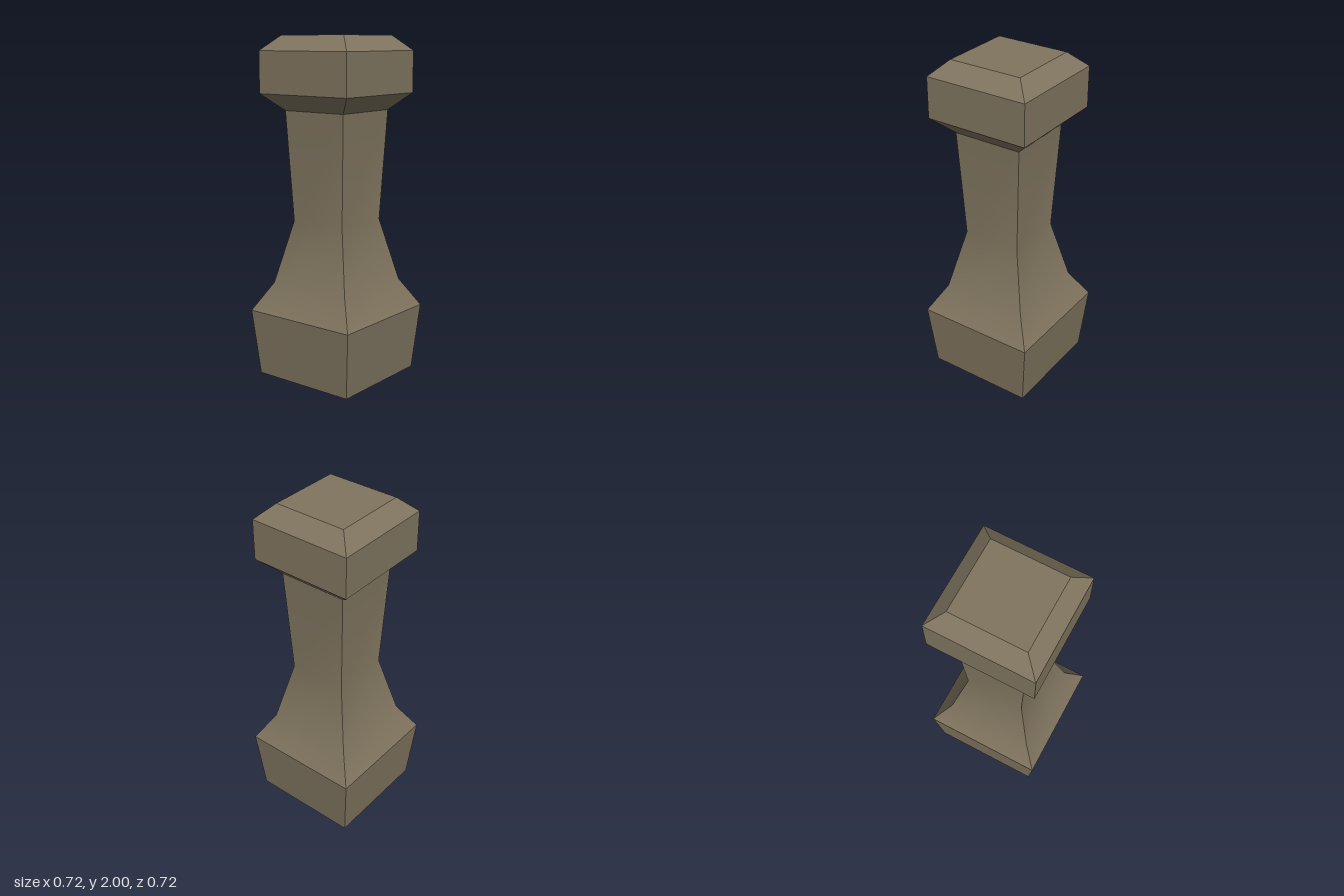
import * as THREE from 'three';
import { mergeGeometries } from 'three/addons/utils/BufferGeometryUtils.js';

// Four walls following a profile of [half width, height], bottom to top.
// Walls are smooth along the profile and sharp at the corners.
function squareBand(profile) {
  const sides = [];
  for (let k = 0; k < 4; k++) {
    const positions = [];
    const index = [];
    profile.forEach(([h, y], i) => {
      positions.push(-h, y, h, h, y, h);
      if (i > 0) {
        const a = 2 * (i - 1);
        index.push(a, a + 1, a + 3, a, a + 3, a + 2);
      }
    });
    const side = new THREE.BufferGeometry();
    side.setAttribute('position', new THREE.Float32BufferAttribute(positions, 3));
    side.setIndex(index);
    side.computeVertexNormals();
    side.rotateY(k * Math.PI / 2);
    sides.push(side);
  }
  return mergeGeometries(sides);
}

export function createModel() {
  const group = new THREE.Group();
  const stone = new THREE.MeshStandardMaterial({ color: 0x80755f, side: THREE.DoubleSide });
  stone.name = 'stone';

  const add = (name, geometry) => {
    const mesh = new THREE.Mesh(geometry, stone);
    mesh.name = name;
    group.add(mesh);
    return mesh;
  };

  // Hollow plinth, open underneath
  add('base', squareBand([[0.325, 0], [0.361, 0.393]]));

  // Flared foot, waist and shaft as one smooth run
  add('shaft', squareBand([[0.361, 0.393], [0.264, 0.56], [0.178, 0.93], [0.21, 1.575]]));

  // Head block with bevels below and above
  add('headUnderside', squareBand([[0.21, 1.575], [0.313, 1.672]]));
  add('headBlock', squareBand([[0.313, 1.672], [0.313, 1.913]]));
  add('headBevel', squareBand([[0.313, 1.913], [0.222, 2]]));

  // Flat top
  const top = add('headTop', new THREE.PlaneGeometry(0.444, 0.444));
  top.rotation.x = -Math.PI / 2;
  top.position.y = 2;

  return group;
}
